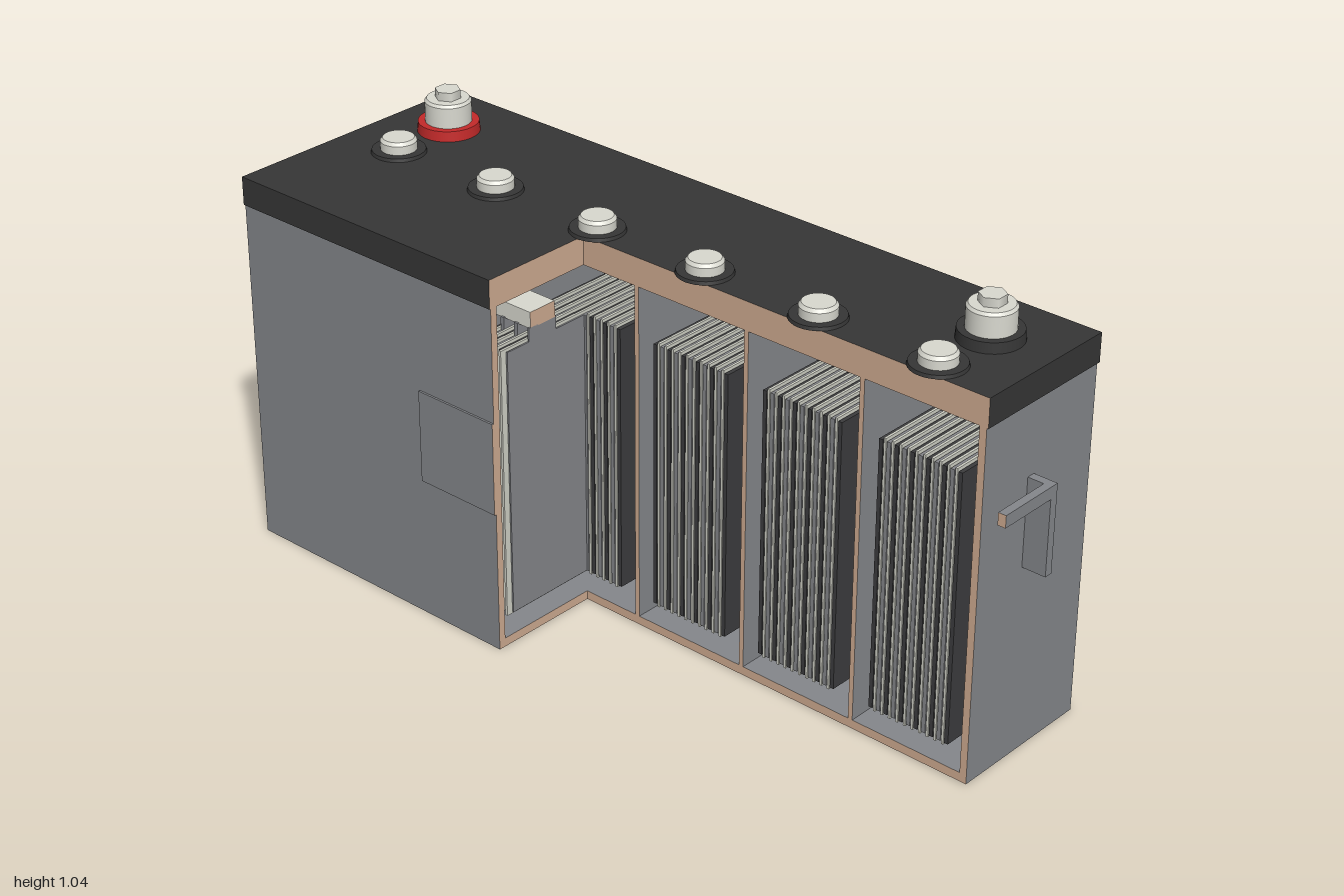
import * as THREE from 'three';

const mat = (name, color) => {
  const m = new THREE.MeshStandardMaterial({ color });
  m.name = name;
  return m;
};

export function createModel() {
  const grey = mat('case grey', 0x85878b);
  const black = mat('lid black', 0x363636);
  const cutTan = mat('cut face tan', 0xcfab91);
  const metal = mat('pale metal', 0xd9d9d0);
  const cream = mat('separator cream', 0xd0d1c6);
  const dark = mat('dark plate', 0x3c3c3e);
  const plateGrey = mat('grey plate', 0x85868a);
  const red = mat('positive red', 0xc42a2a);

  const model = new THREE.Group();
  model.name = 'cutawayBattery';
  const group = (name) => {
    const g = new THREE.Group();
    g.name = name;
    model.add(g);
    return g;
  };

  // The quarter with x > CX and z > CZ is cut away from every box.
  const CX = -0.16, CZ = 0.045;
  function box(parent, name, [x0, x1], [y0, y1], [z0, z1], m, cap = cutTan) {
    const piece = (a, b, c, d, capX, capZ) => {
      const geo = new THREE.BoxGeometry(b - a, y1 - y0, d - c);
      const mats = [capX ? cap : m, m, m, m, capZ ? cap : m, m];
      const mesh = new THREE.Mesh(geo, capX || capZ ? mats : m);
      mesh.position.set((a + b) / 2, (y0 + y1) / 2, (c + d) / 2);
      mesh.name = name;
      parent.add(mesh);
    };
    if (z1 <= CZ || x1 <= CX) return piece(x0, x1, z0, z1, false, false);
    if (x0 < CX) piece(x0, CX, z0, z1, true, false);
    if (z0 < CZ) piece(Math.max(x0, CX), x1, z0, CZ, false, true);
  }

  // Case shell, cell dividers and lid
  const X0 = -0.945, X1 = 0.94, Z = 0.335, H = 0.865, W = 0.018;
  const PITCH = 0.313, MID = -0.0025;
  const shell = group('case');
  box(shell, 'floor', [X0, X1], [0, 0.022], [-Z, Z], grey);
  box(shell, 'backWall', [X0, X1], [0.022, H], [-Z, -Z + W], grey);
  box(shell, 'frontWall', [X0, X1], [0.022, H], [Z - W, Z], grey);
  box(shell, 'rightWall', [X0, X0 + W], [0.022, H], [-Z + W, Z - W], grey);
  box(shell, 'leftWall', [X1 - W, X1], [0.022, H], [-Z + W, Z - W], grey);
  for (let k = -2; k <= 2; k++) {
    const x = MID + k * PITCH;
    box(shell, 'cellDivider', [x - 0.006, x + 0.006], [0.022, H], [-Z + W, Z - W], grey);
  }
  box(shell, 'frontPanel', [-0.39, 0.39], [0.355, 0.585], [Z, Z + 0.005], grey);
  box(group('lidGroup'), 'lid', [X0 - 0.002, X1 + 0.004], [H, 0.935], [-0.338, 0.338], black);

  // Plate stacks: alternating plates with separators between, tabs front and back
  const cellX = (k) => MID + (k - 2.5) * PITCH;
  const STEP = 0.0205;
  for (let k = 0; k < 6; k++) {
    const stack = group('plateStack');
    for (let i = 0; i < 11; i++) {
      const x = cellX(k) + (i - 5) * STEP;
      const m = i % 2 ? plateGrey : dark;
      box(stack, 'plate', [x - 0.005, x + 0.005], [0.078, 0.742], [-0.288, 0.288], m, m);
      const side = (i + k) % 2 ? 1 : -1;
      const tab = side > 0 ? [0.135, 0.22] : [-0.22, -0.135];
      box(stack, 'plateTab', [x - 0.005, x + 0.005], [0.742, 0.775], tab, m, m);
      if (i < 10) {
        const s = x + STEP / 2;
        box(stack, 'separator', [s - 0.003, s + 0.003], [0.072, 0.748], [-0.302, 0.302], cream, cream);
      }
    }
  }

  // Straps joining neighbouring cells, alternating front and back
  const straps = group('straps');
  const strap = (a, b, z) =>
    box(straps, 'strap', [cellX(a) - 0.106, cellX(b) + 0.106], [0.772, 0.812], z, metal);
  const front = [0.138, 0.215], back = [-0.215, -0.138];
  [0, 2, 4].forEach((k) => strap(k, k + 1, front));
  [[0, 0], [1, 2], [3, 4], [5, 5]].forEach(([a, b]) => strap(a, b, back));

  // Side handles: two flat legs and a bar
  for (const s of [-1, 1]) {
    const handle = group(s > 0 ? 'leftHandle' : 'rightHandle');
    const span = (a, b) => (s > 0 ? [a, b] : [-b, -a]);
    box(handle, 'handleBar', span(0.98, 1), [0.657, 0.687], [-0.11, 0.105], grey);
    box(handle, 'handleLeg', span(0.94, 1), [0.47, 0.687], [-0.131, -0.11], grey);
    box(handle, 'handleLeg', span(0.94, 1), [0.47, 0.687], [0.105, 0.126], grey);
  }

  // Round fittings on the lid
  const cyl = (parent, name, r0, r1, y0, y1, sides, m) => {
    const mesh = new THREE.Mesh(new THREE.CylinderGeometry(r1, r0, y1 - y0, sides), m);
    mesh.position.y = (y0 + y1) / 2;
    mesh.name = name;
    parent.add(mesh);
  };
  for (let k = 0; k < 6; k++) {
    const vent = group('ventCap');
    vent.position.set(cellX(k), 0, 0);
    cyl(vent, 'capFlange', 0.065, 0.063, 0.935, 0.943, 32, black);
    cyl(vent, 'capBody', 0.043, 0.043, 0.943, 0.964, 32, metal);
    cyl(vent, 'capTop', 0.043, 0.037, 0.964, 0.972, 32, metal);
  }
  for (const s of [-1, 1]) {
    const terminal = group(s < 0 ? 'positiveTerminal' : 'negativeTerminal');
    terminal.position.set(s * 0.788, 0, -0.165);
    cyl(terminal, 'terminalCollar', 0.074, 0.072, 0.935, 0.96, 40, s < 0 ? red : black);
    cyl(terminal, 'terminalPost', 0.055, 0.055, 0.96, 1.01, 40, metal);
    cyl(terminal, 'terminalRim', 0.055, 0.05, 1.01, 1.017, 40, metal);
    cyl(terminal, 'boltHead', 0.031, 0.031, 1.017, 1.038, 6, metal);
    cyl(terminal, 'innerPost', 0.035, 0.035, 0.812, H, 24, metal);
  }
  return model;
}
